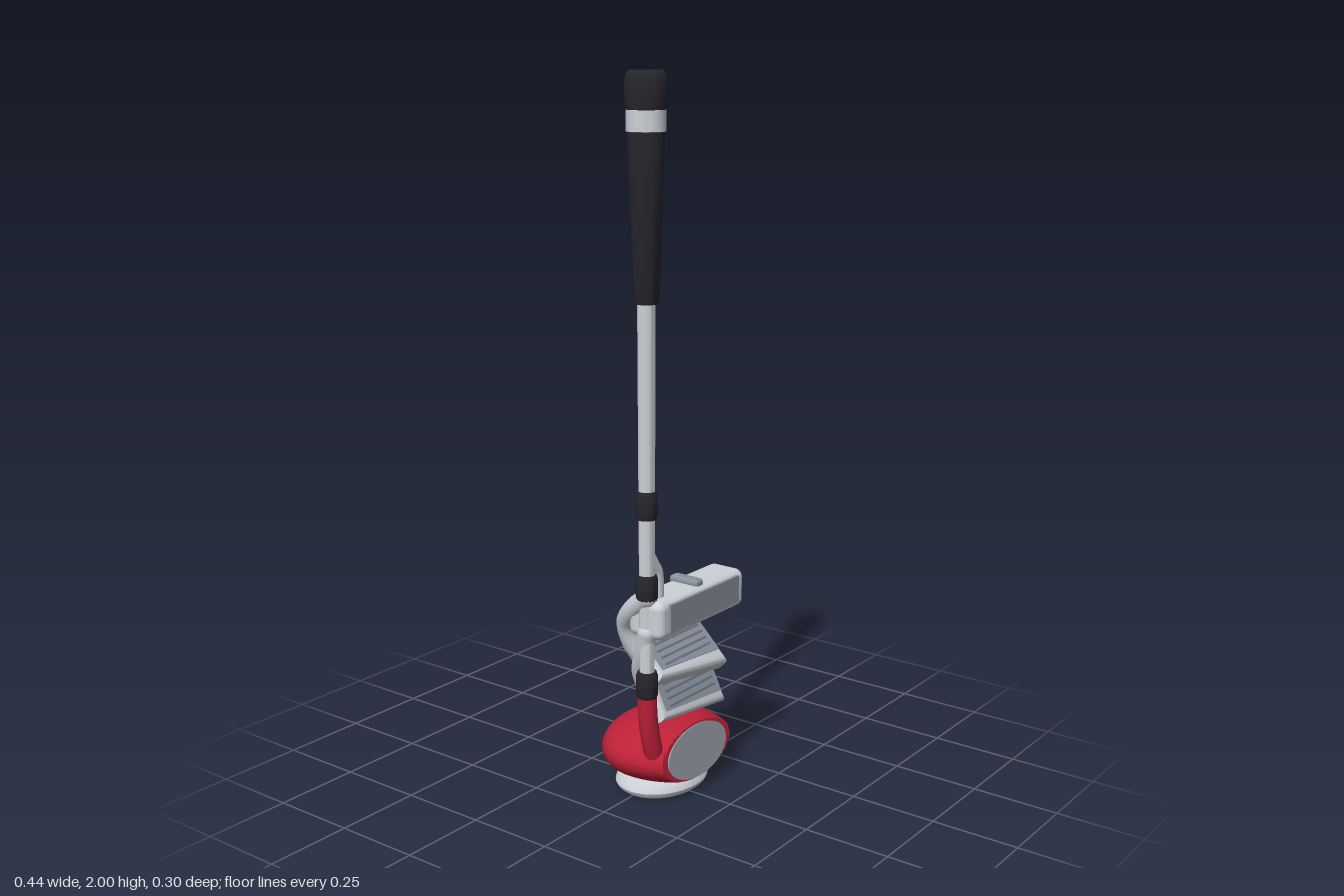
import * as THREE from 'three';
import { toCreasedNormals } from 'three/addons/utils/BufferGeometryUtils.js';
import { RoundedBoxGeometry } from 'three/addons/geometries/RoundedBoxGeometry.js';

const SX = -0.168, SZ = 0.087; // shaft axis

function mat(name, color) {
  const m = new THREE.MeshStandardMaterial({ color });
  m.name = name;
  return m;
}

export function createModel() {
  const root = new THREE.Group();
  root.name = 'golfClubSet';
  const black = mat('blackRubber', 0x26262d);
  const silver = mat('silver', 0xcdd1d7);
  const steel = mat('steel', 0x8a929e);
  const red = mat('red', 0xbd2138);
  const faceGrey = mat('faceGrey', 0x999fa8);
  const dark = mat('grooveGrey', 0x69717d);

  const add = (name, geo, m, x = 0, y = 0, z = 0, parent = root) => {
    const mesh = new THREE.Mesh(geo, m);
    mesh.name = name;
    mesh.position.set(x, y, z);
    parent.add(mesh);
    return mesh;
  };
  // Turned part around the shaft axis, from [radius, height] pairs
  const turned = (name, pts, m) => {
    const geo = new THREE.LatheGeometry(pts.map(p => new THREE.Vector2(p[0], p[1])), 28);
    return add(name, toCreasedNormals(geo, 0.7), m, SX, 0, SZ);
  };
  // Bent neck with rounded ends
  const neck = (name, pts, r, m) => {
    const v = pts.map(p => new THREE.Vector3(...p));
    add(name, new THREE.TubeGeometry(new THREE.CatmullRomCurve3(v), 28, r, 16), m);
    for (const e of [v[0], v[v.length - 1]])
      add(name + 'End', new THREE.SphereGeometry(r, 16, 10), m, e.x, e.y, e.z);
  };

  // Shaft, grip and collars
  turned('shaft', [[0, 0.33], [0.02, 0.33], [0.024, 1.43], [0, 1.43]], silver);
  turned('grip', [[0, 1.415], [0.03, 1.415], [0.034, 1.425], [0.047, 1.82], [0.048, 1.86], [0, 1.86]], black);
  turned('gripBand', [[0.045, 1.848], [0.051, 1.85], [0.051, 1.903], [0.045, 1.905]], silver);
  turned('gripCap', [[0, 1.9], [0.05, 1.9], [0.054, 1.92], [0.055, 1.975], [0.051, 1.993], [0.043, 2], [0, 2]], black);
  for (const [y0, y1] of [[0.84, 0.917], [0.61, 0.685], [0.333, 0.41]])
    turned('collar', [[0, y0], [0.026, y0], [0.03, y0 + 0.012], [0.03, y1 - 0.012], [0.026, y1], [0, y1]], black);

  // Driver head: ellipsoid, deeper at the front, cut by a sloping face plane
  const faceZ = y => 0.127 - 0.13 * (y - 0.125);
  const head = new THREE.SphereGeometry(1, 64, 48);
  const p = head.attributes.position;
  for (let i = 0; i < p.count; i++) {
    const y = 0.125 + p.getY(i) * 0.092;
    const z = p.getZ(i) * (p.getZ(i) > 0 ? 0.235 : 0.152);
    p.setXYZ(i, 0.011 + p.getX(i) * 0.193, y, Math.min(z, faceZ(y)));
  }
  head.computeVertexNormals();
  add('driverHead', toCreasedNormals(head, 0.5), red);

  // Driver face plate
  const plate = add('driverFace', new THREE.CylinderGeometry(1, 1, 0.008, 48), faceGrey, 0.011, 0.126, faceZ(0.126));
  plate.scale.set(0.137, 1, 0.074);
  plate.rotation.x = Math.PI / 2 - 0.13;

  // Sole plate
  const solePts = [[0, 0], [0.88, 0], [0.97, 0.01], [1, 0.02], [0.97, 0.032], [0.85, 0.042], [0, 0.042]];
  const sole = add('solePlate', toCreasedNormals(
    new THREE.LatheGeometry(solePts.map(q => new THREE.Vector2(...q)), 48), 0.7), silver, 0.011, 0, 0.003);
  sole.scale.set(0.15, 1, 0.122);

  // Necks joining each head to the shaft
  neck('driverNeck', [[SX, 0.335, SZ], [-0.164, 0.27, SZ], [-0.15, 0.2, 0.087], [-0.132, 0.145, 0.085]], 0.027, red);
  neck('putterNeck', [[SX, 0.74, SZ], [-0.148, 0.71, SZ], [-0.13, 0.68, SZ], [-0.127, 0.58, SZ]], 0.021, silver);
  neck('upperIronNeck', [[SX, 0.62, SZ], [-0.158, 0.575, 0.035], [-0.135, 0.52, -0.008], [-0.115, 0.46, -0.005], [-0.095, 0.41, 0.02]], 0.029, silver);
  neck('lowerIronNeck', [[SX, 0.52, SZ], [-0.158, 0.46, 0.07], [-0.135, 0.39, 0.042], [-0.1, 0.31, 0.045]], 0.027, silver);

  // Putter head with face inset and sight line
  add('putterHead', new RoundedBoxGeometry(0.4, 0.11, 0.115, 4, 0.024), silver, 0.019, 0.559, 0.085);
  add('putterFace', new THREE.BoxGeometry(0.322, 0.078, 0.009), steel, 0.019, 0.564, 0.1435);
  add('sightLine', new RoundedBoxGeometry(0.038, 0.026, 0.096, 3, 0.011), steel, 0.019, 0.617, 0.081);

  // Blade outline: taller at the toe than at the heel
  const blade = (x0, x1, h0, h1) => {
    const s = new THREE.Shape();
    s.moveTo(x0, -h0);
    s.lineTo(x1, -h1);
    s.lineTo(x1, h1);
    s.lineTo(x0, h0);
    s.closePath();
    return s;
  };
  const iron = (name, y, z, loft, toe) => {
    const g = new THREE.Group();
    g.name = name;
    g.position.set(0, y, z);
    g.rotation.x = -loft;
    root.add(g);
    const b = 0.02;
    const body = new THREE.ExtrudeGeometry(blade(-0.117 + b, 0.17 - b, 0.075 - b, toe - b), {
      depth: 0.026, bevelEnabled: true, bevelSize: b, bevelThickness: b, bevelSegments: 4 });
    body.translate(0, 0, -0.013);
    add('ironBlade', toCreasedNormals(body, 0.7), silver, 0, 0, 0, g);
    add('ironFace', new THREE.ExtrudeGeometry(blade(-0.096, 0.152, 0.051, 0.068), {
      depth: 0.008, bevelEnabled: false }), steel, 0, 0, 0.029, g);
    for (let i = 0; i < 5; i++)
      add('groove', new THREE.BoxGeometry(0.21, 0.006, 0.005), dark, 0.028, -0.042 + i * 0.021, 0.037, g);
  };
  iron('upperIron', 0.403, 0.026, 0.79, 0.108);
  iron('lowerIron', 0.302, 0.047, 0.45, 0.1);

  return root;
}
